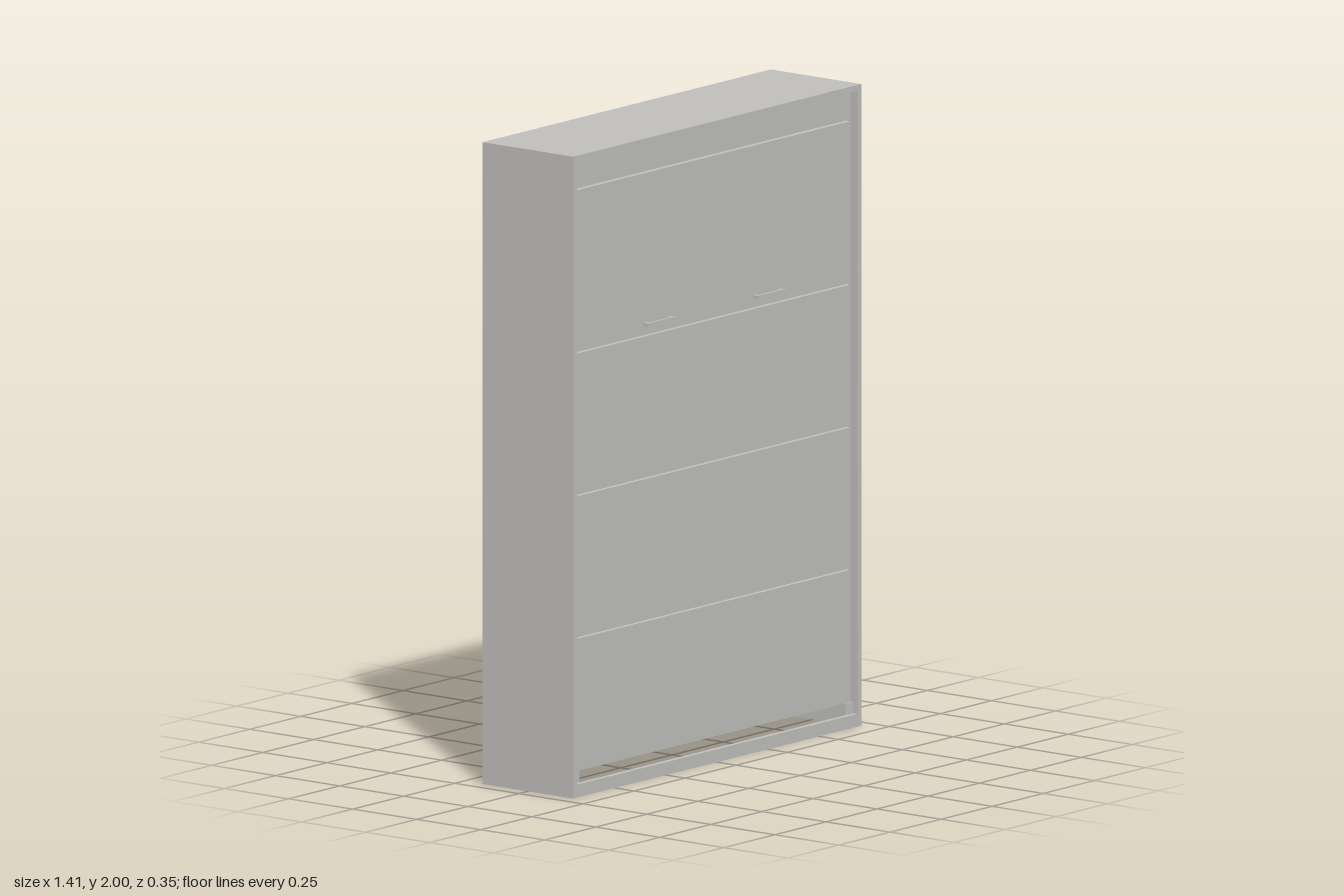
import * as THREE from 'three';

export function createModel() {
  const group = new THREE.Group();
  const panelGrey = new THREE.MeshStandardMaterial({ color: 0xc0bfbd });
  panelGrey.name = 'panelGrey';

  // Box given by its limits on each axis
  const box = (name, x0, x1, y0, y1, z0, z1, parent = group) => {
    const mesh = new THREE.Mesh(new THREE.BoxGeometry(x1 - x0, y1 - y0, z1 - z0), panelGrey);
    mesh.position.set((x0 + x1) / 2, (y0 + y1) / 2, (z0 + z1) / 2);
    mesh.name = name;
    parent.add(mesh);
    return mesh;
  };

  const W = 0.705, D = 0.177, T = 0.018;
  const inner = W - T;

  // Cabinet carcass, open at the bottom
  box('leftSidePanel', inner, W, 0, 2, -D, D);
  box('rightSidePanel', -W, -inner, 0, 2, -D, D);
  box('topPanel', -inner, inner, 2 - T, 2, -D, D);
  box('backPanel', -inner, inner, 0, 2 - T, -D + 0.004, -D + 0.018);
  box('toeRail', -inner, inner, 0, 0.04, D - T, D - 0.001);

  // Floor brackets behind the toe rail
  for (const s of [-1, 1]) {
    const x = s * 0.669;
    box('floorBracket', x - 0.018, x + 0.018, 0.01, 0.075, D - 0.034, D - T);
  }

  // Recessed front: fascia and four door panels
  const doorX = inner - 0.006, doorBack = 0.135, doorFront = 0.154;
  box('topFascia', -doorX, doorX, 1.891, 1.977, doorBack, doorFront);
  const doors = [[0.075, 0.487], [0.492, 0.931], [0.936, 1.376], [1.381, 1.885]];
  for (const [y0, y1] of doors) box('doorPanel', -doorX, doorX, y0, y1, doorBack, doorFront);

  // Folded bed frame behind the doors
  const bed = new THREE.Group();
  bed.name = 'bedFrame';
  group.add(bed);
  box('mattressBase', -0.63, 0.63, 0.14, 1.86, 0.1, doorBack, bed);
  box('lowerFrameRail', -0.65, 0.65, 0.115, 0.2, 0.02, doorBack, bed);
  box('upperFrameRail', -0.65, 0.65, 1.8, 1.88, 0.02, doorBack, bed);
  for (const s of [-1, 1]) {
    box('sideFrameRail', s * 0.64 - 0.01, s * 0.64 + 0.01, 0.2, 1.8, 0.02, doorBack, bed);
  }
  box('rearCrossRail', -inner, inner, 0.16, 0.26, -0.13, -0.11, bed);

  // Two bar handles on the top door
  for (const s of [-1, 1]) {
    const handle = new THREE.Group();
    handle.name = 'handle';
    group.add(handle);
    const x = s * 0.268;
    box('handleBar', x - 0.07, x + 0.07, 1.409, 1.421, 0.168, 0.176, handle);
    for (const p of [-0.058, 0.058]) {
      box('handlePost', x + p - 0.006, x + p + 0.006, 1.41, 1.42, doorFront, 0.168, handle);
    }
  }
  return group;
}
